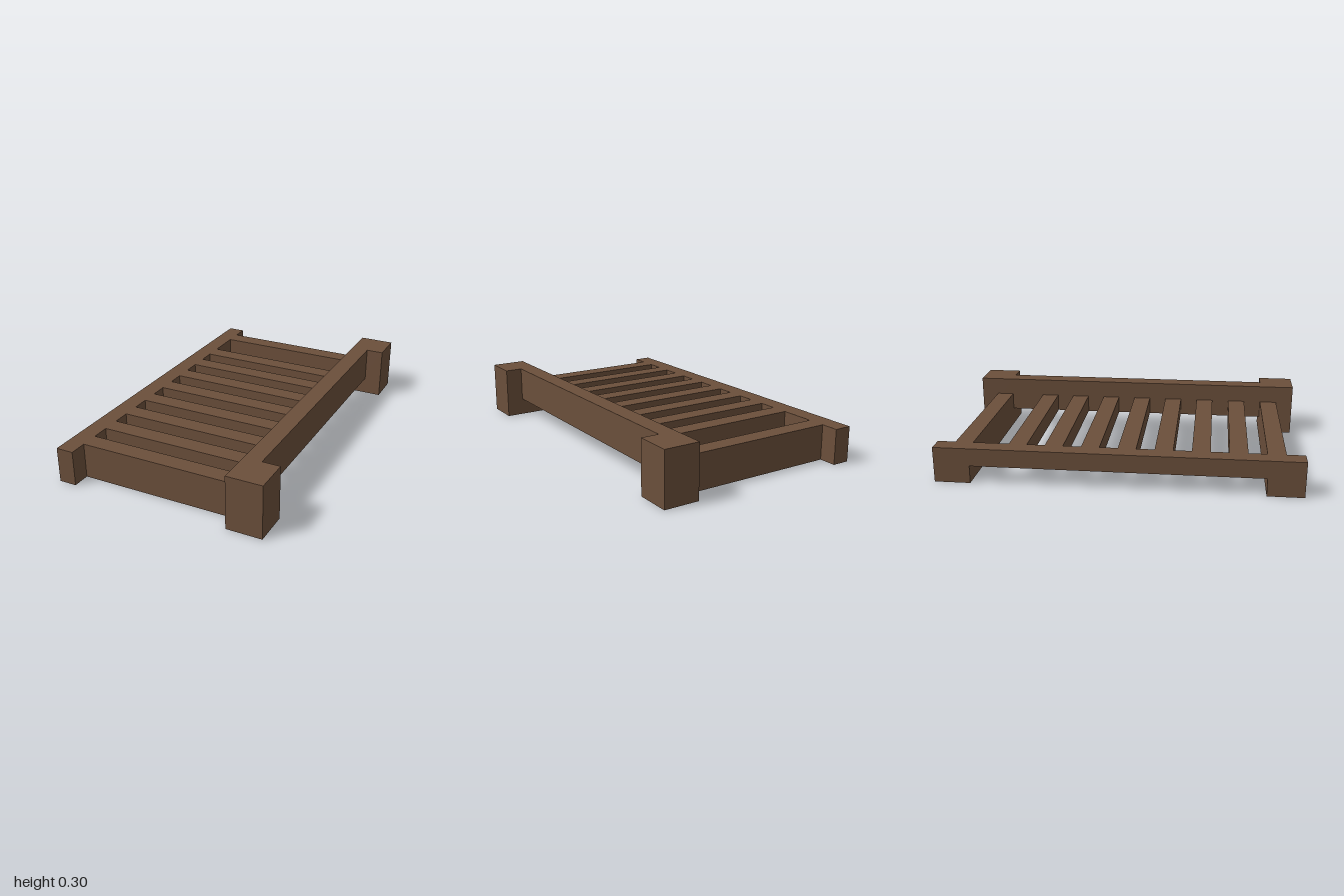
import * as THREE from 'three';

export function createModel() {
  const group = new THREE.Group();
  const wood = new THREE.MeshStandardMaterial({ color: 0x6b4f3b });
  wood.name = 'brown wood';

  // Box given by its minimum and maximum along each axis
  const beam = (name, [x0, x1], [y0, y1], [z0, z1]) => {
    const mesh = new THREE.Mesh(new THREE.BoxGeometry(x1 - x0, y1 - y0, z1 - z0), wood);
    mesh.position.set((x0 + x1) / 2, (y0 + y1) / 2, (z0 + z1) / 2);
    mesh.name = name;
    group.add(mesh);
  };

  // Long side rails: the left one is taller
  beam('leftRail', [0.4, 0.5], [0.1, 0.3], [-0.8, 0.8]);
  beam('rightRail', [-0.6, -0.5], [0.1, 0.2], [-0.8, 0.8]);

  // Corner posts and deep end boards, front and back
  for (const [end, post, board] of [
    ['front', [0.8, 1], [0.8, 0.9]],
    ['back', [-1, -0.8], [-0.9, -0.8]],
  ]) {
    beam(end + 'LeftPost', [0.4, 0.6], [0, 0.3], post);
    beam(end + 'RightPost', [-0.6, -0.5], [0, 0.2], post);
    beam(end + 'Board', [-0.5, 0.4], [0, 0.2], board);
  }

  // Evenly spaced slats between the rails
  for (let i = 0; i < 7; i++) {
    const z = -0.6 + i * 0.2;
    beam('slat' + (i + 1), [-0.5, 0.4], [0.1, 0.2], [z, z + 0.1]);
  }

  return group;
}
